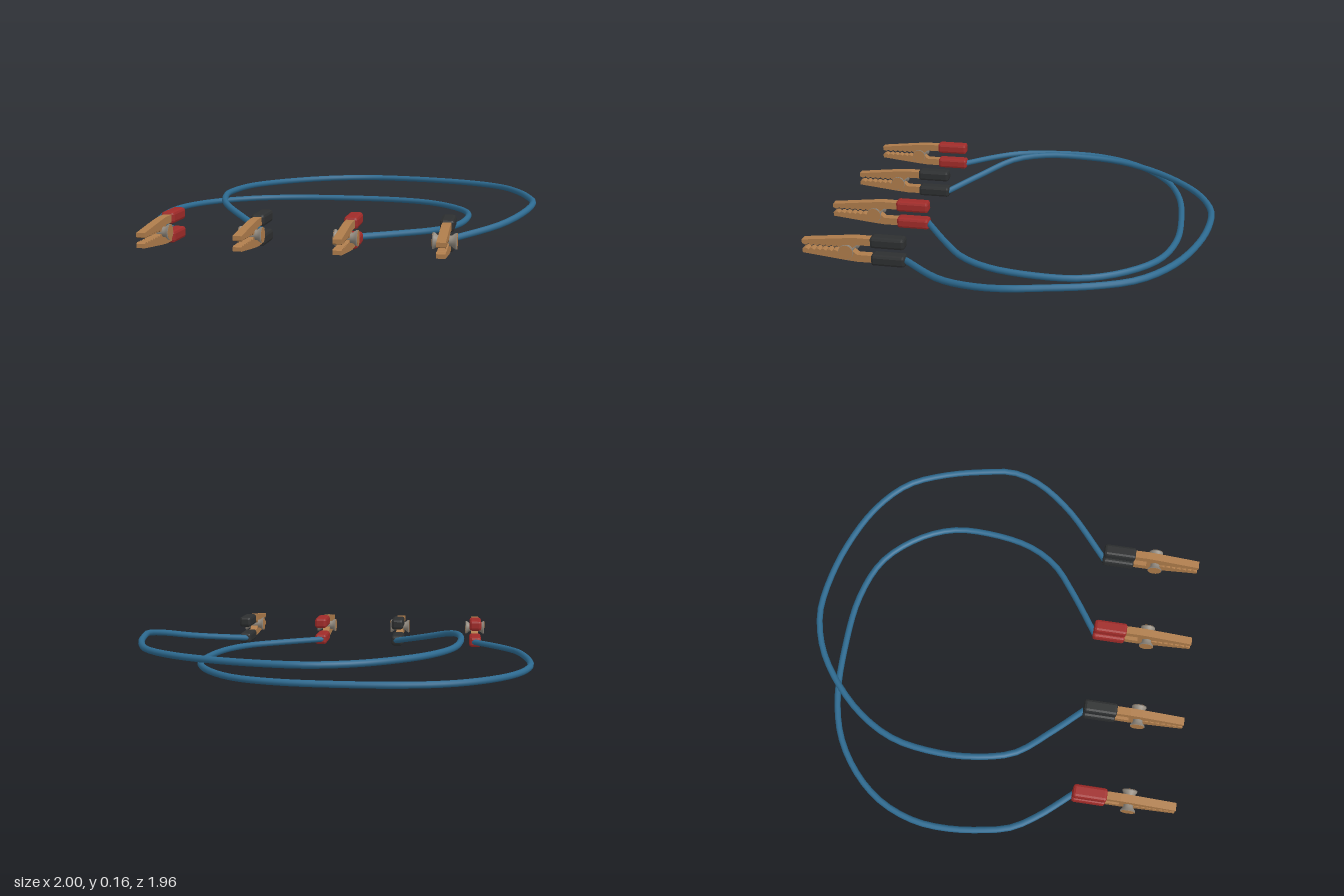
import * as THREE from 'three';
import { RoundedBoxGeometry } from 'three/addons/geometries/RoundedBoxGeometry.js';

const mat = (color, flatShading = false) => new THREE.MeshStandardMaterial({ color, flatShading });
const copper = mat(0xae7c4b, true), steel = mat(0x938b80), blue = mat(0x2d6a90);
const red = mat(0xa02b29, true), black = mat(0x2d2f30, true);
const MID = 0.081; // height of the clip's hinge

function add(parent, name, geometry, material) {
  const mesh = new THREE.Mesh(geometry, material);
  mesh.name = name;
  parent.add(mesh);
  return mesh;
}

// Toothed jaw profile drawn in (z, y), extruded across x; side is +1 upper, -1 lower
function jawGeometry(side) {
  const pts = [[0.6, 0.026], [0.6, 0.062], [0.7, 0.063], [0.76, 0.058], [0.975, 0.034], [0.975, 0.015]];
  const teeth = 6, start = 0.962, pitch = 0.029;
  for (let i = 0; i < teeth; i++) {
    const z = start - i * pitch;
    pts.push([z, 0.009], [z - 0.3 * pitch, 0.009], [z - 0.65 * pitch, 0.016]);
  }
  pts.push([0.785, 0.006], [0.725, 0.006], [0.7, 0.026]);
  const shape = new THREE.Shape(pts.map(([z, y]) => new THREE.Vector2(z, y * side)));
  return new THREE.ExtrudeGeometry(shape, { depth: 0.04, bevelEnabled: false })
    .translate(0, 0, -0.02).rotateY(-Math.PI / 2);
}

// Solid spool across the hinge: wide thin rims flaring from a narrower core
function spoolGeometry() {
  const half = [[0.054, 0], [0.054, 0.037], [0.047, 0.037], [0.03, 0.024]];
  const profile = [
    ...half.map(([x, r]) => new THREE.Vector2(r, -x)),
    ...half.reverse().map(([x, r]) => new THREE.Vector2(r, x)),
  ];
  return new THREE.LatheGeometry(profile, 20).rotateZ(Math.PI / 2);
}

function makeClip(x, sleeve) {
  const clip = new THREE.Group();
  clip.name = 'clip';
  clip.position.set(x, MID, 0);
  for (const side of [1, -1]) {
    const level = side > 0 ? 'upper' : 'lower';
    add(clip, level + 'Jaw', jawGeometry(side), copper);
    add(clip, level + 'Sleeve', new RoundedBoxGeometry(0.066, 0.057, 0.17, 1, 0.014), sleeve)
      .position.set(0, side * 0.046, 0.548);

    // Copper face on each end of the spool
    const cap = add(clip, 'hingeCap', new THREE.CylinderGeometry(0.036, 0.036, 0.004, 20), copper);
    cap.position.set(side * 0.053, 0, 0.745);
    cap.rotation.z = Math.PI / 2;
  }
  add(clip, 'hingeSpool', spoolGeometry(), steel).position.z = 0.745;
  return clip;
}

function cableGeometry(points) {
  const curve = new THREE.CatmullRomCurve3(points.map(([x, z, y = 0.035]) => new THREE.Vector3(x, y, z)));
  return new THREE.TubeGeometry(curve, 64, 0.016, 10, false);
}

export function createModel() {
  const model = new THREE.Group();
  model.name = 'testLeads';

  // Four clips in alternating sleeve colours
  [-0.723, -0.284, 0.154, 0.593].forEach((x, i) => model.add(makeClip(x, i % 2 ? black : red)));

  // Cable lying flat between the red clips: x, z
  add(model, 'flatCable', cableGeometry([
    [-0.711, 0.48], [-0.853, 0.315], [-0.933, 0.187], [-0.97, 0.03], [-0.986, -0.134],
    [-0.973, -0.294], [-0.906, -0.47], [-0.789, -0.615], [-0.612, -0.738], [-0.398, -0.802],
    [-0.12, -0.82], [0.163, -0.802], [0.388, -0.722], [0.548, -0.56], [0.634, -0.374],
    [0.644, -0.187], [0.602, 0.053], [0.51, 0.21], [0.366, 0.326], [0.14, 0.478],
  ]), blue);

  // Raised cable crossing over it between the black clips: x, z, y
  add(model, 'raisedCable', cableGeometry([
    [-0.272, 0.478, 0.034], [-0.436, 0.315, 0.083], [-0.58, 0.15, 0.13],
    [-0.632, -0.03, 0.149], [-0.642, -0.214, 0.149], [-0.605, -0.455, 0.147], [-0.505, -0.64, 0.145],
    [-0.345, -0.805, 0.145], [-0.184, -0.91, 0.145], [-0.013, -0.962, 0.145], [0.126, -0.962, 0.145],
    [0.377, -0.912, 0.145], [0.644, -0.797, 0.145], [0.816, -0.647, 0.145], [0.906, -0.455, 0.145],
    [0.96, -0.24, 0.145], [0.982, -0.09, 0.14], [0.949, 0.053, 0.12], [0.832, 0.24, 0.079],
    [0.58, 0.478, 0.034],
  ]), blue);

  return model;
}
